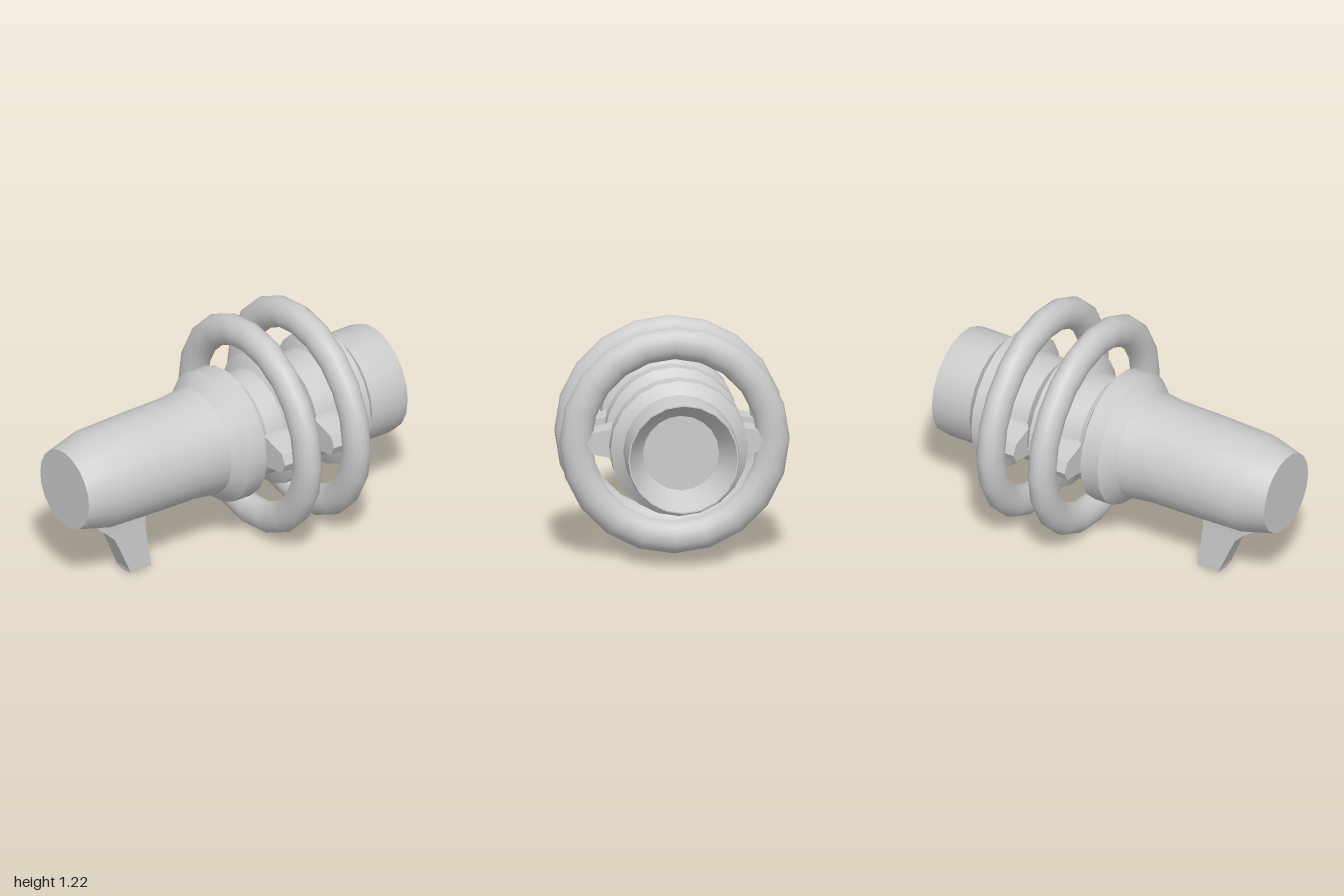
import * as THREE from 'three';
import { toCreasedNormals } from 'three/addons/utils/BufferGeometryUtils.js';

const AXIS_Y = 0.617;
const material = new THREE.MeshStandardMaterial({ color: 0xcccccc });
const flat = new THREE.MeshStandardMaterial({ color: 0xcccccc, flatShading: true });

function add(parent, name, geometry, mat = material) {
  const mesh = new THREE.Mesh(geometry, mat);
  mesh.name = name;
  parent.add(mesh);
  return mesh;
}

// Linear interpolation in rows of [key, value, value...], keys ascending
function sample(rows, key) {
  let i = 0;
  while (i < rows.length - 2 && key > rows[i + 1][0]) i++;
  const [a, b] = [rows[i], rows[i + 1]];
  const t = (key - a[0]) / (b[0] - a[0]);
  return a.map((v, k) => v + (b[k] - v) * t);
}

// Turned body: radius and z from the rear socket to the front cap
function bodyGeometry() {
  const profile = [
    [0, -0.83], [0.2, -0.83], [0.285, -1], [0.292, -1], [0.299, -0.96], [0.299, -0.765],
    [0.362, -0.715], [0.362, -0.61], [0.29, -0.575], [0.28, -0.43],
    [0.295, -0.415], [0.362, -0.365], [0.362, -0.262], [0.29, -0.22], [0.28, -0.11],
    [0.295, -0.08], [0.362, -0.045], [0.362, 0.06], [0.295, 0.135],
    [0.279, 0.28], [0.277, 0.5], [0.268, 0.82], [0.222, 1], [0, 1],
  ].map(([r, z]) => new THREE.Vector2(r, z));
  const geometry = new THREE.LatheGeometry(profile, 20).rotateX(Math.PI / 2);
  return toCreasedNormals(geometry, 0.4);
}

// Tapered strut with a pointed outer end, joining body to ring
function strutGeometry() {
  const shape = new THREE.Shape([
    [0.2, -0.09], [0.3, -0.085], [0.435, -0.057], [0.465, 0],
    [0.435, 0.057], [0.3, 0.085], [0.2, 0.09],
  ].map(([x, y]) => new THREE.Vector2(x, y)));
  return new THREE.ExtrudeGeometry(shape, { depth: 0.165, bevelEnabled: false })
    .translate(0, 0, -0.06);
}

// Curved foot: a box bent to follow front and back edges, with a shallow V sole
function footGeometry() {
  const rows = [ // y, half width, back z, front z
    [0, 0.064, 0.49, 0.625], [0.03, 0.064, 0.493, 0.63], [0.15, 0.06, 0.508, 0.68],
    [0.24, 0.057, 0.52, 0.72], [0.285, 0.056, 0.522, 0.765],
    [0.33, 0.056, 0.518, 0.82], [0.37, 0.056, 0.515, 0.82],
  ];
  const n = rows.length - 1;
  const geometry = new THREE.BoxGeometry(2, 1, 1, 2, n, 1);
  const p = geometry.attributes.position;
  for (let i = 0; i < p.count; i++) {
    const row = rows[Math.round((p.getY(i) + 0.5) * n)];
    const [, half, back, front] = sample(rows, row[0]);
    const x = p.getX(i);
    const y = row[0] === 0 ? 0.012 * Math.abs(x) : row[0];
    p.setXYZ(i, x * half - 0.005, y, p.getZ(i) > 0 ? front : back);
  }
  geometry.computeVertexNormals();
  return geometry;
}

export function createModel() {
  const model = new THREE.Group();
  model.name = 'ringedTube';

  add(model, 'body', bodyGeometry()).position.set(-0.008, AXIS_Y, 0);
  add(model, 'foot', footGeometry(), flat);

  // Two rings, each held by a strut on either side
  [-0.188, -0.503].forEach((z, i) => {
    const assembly = new THREE.Group();
    assembly.name = i ? 'rearRing' : 'frontRing';
    assembly.position.set(0, AXIS_Y, z);
    const ring = new THREE.TorusGeometry(0.521, 0.086, 16, 20).scale(1, 1, 0.84);
    add(assembly, 'ring', ring);
    for (const side of ['left', 'right']) {
      const strut = add(assembly, side + 'Strut', strutGeometry(), flat);
      if (side === 'right') strut.rotation.z = Math.PI;
    }
    model.add(assembly);
  });
  return model;
}
